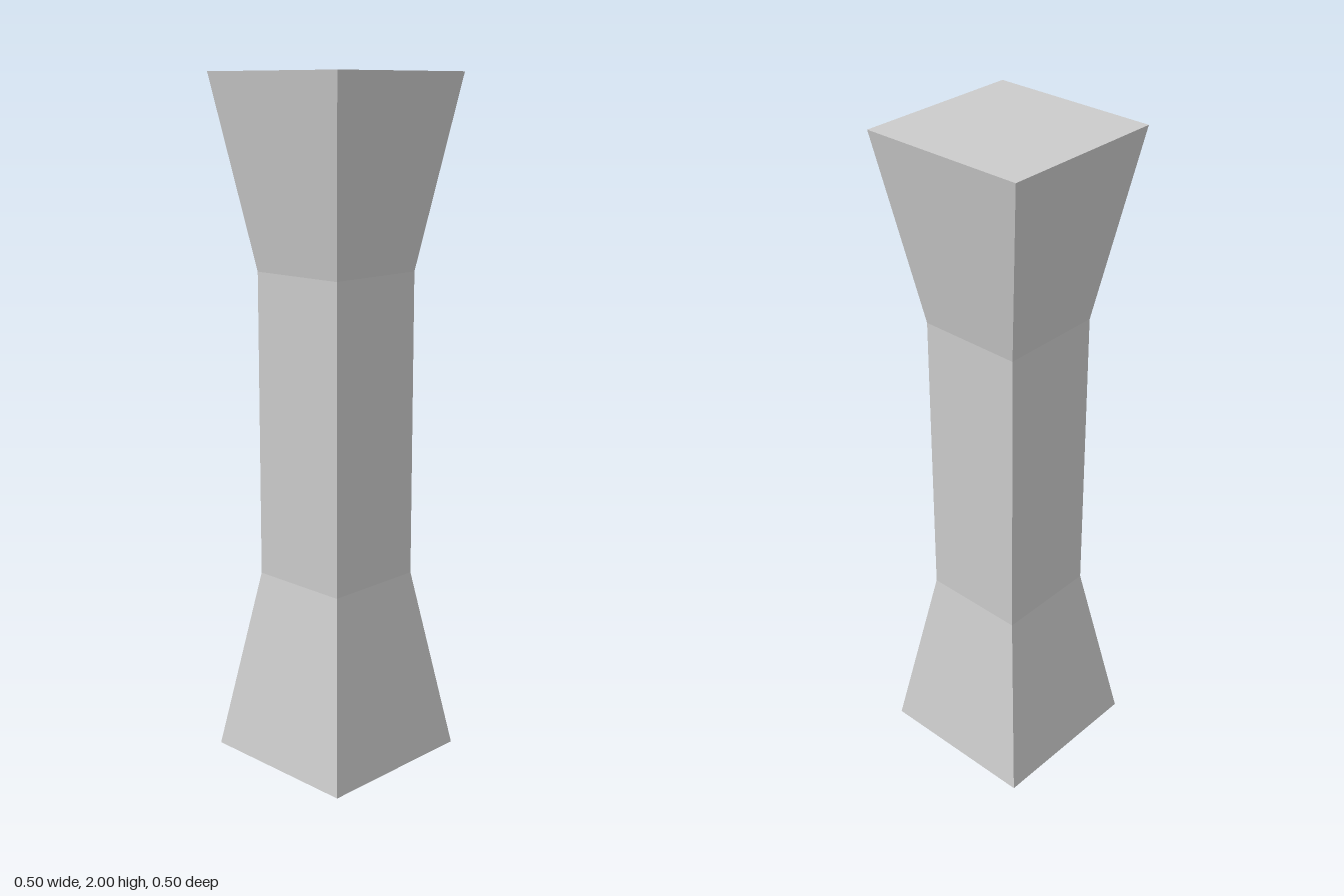
import * as THREE from 'three';

// Height and half width of each square ring, from the foot to the top
const RINGS = [[0, 0.25], [0.55, 0.157], [1.45, 0.157], [2, 0.25]];

export function createModel() {
  const group = new THREE.Group();
  group.name = 'pillar';

  // A box in three storeys, each ring moved to its height and width
  const box = new THREE.BoxGeometry(2, 3, 2, 1, 3, 1);
  const pos = box.attributes.position;
  for (let i = 0; i < pos.count; i++) {
    const [y, half] = RINGS[Math.round(pos.getY(i) + 1.5)];
    pos.setXYZ(i, Math.sign(pos.getX(i)) * half, y, Math.sign(pos.getZ(i)) * half);
  }
  const geometry = box.toNonIndexed();
  geometry.computeVertexNormals();

  const material = new THREE.MeshStandardMaterial({ color: 0xcccccc, flatShading: true });
  const column = new THREE.Mesh(geometry, material);
  column.name = 'flaredColumn';
  group.add(column);
  return group;
}
